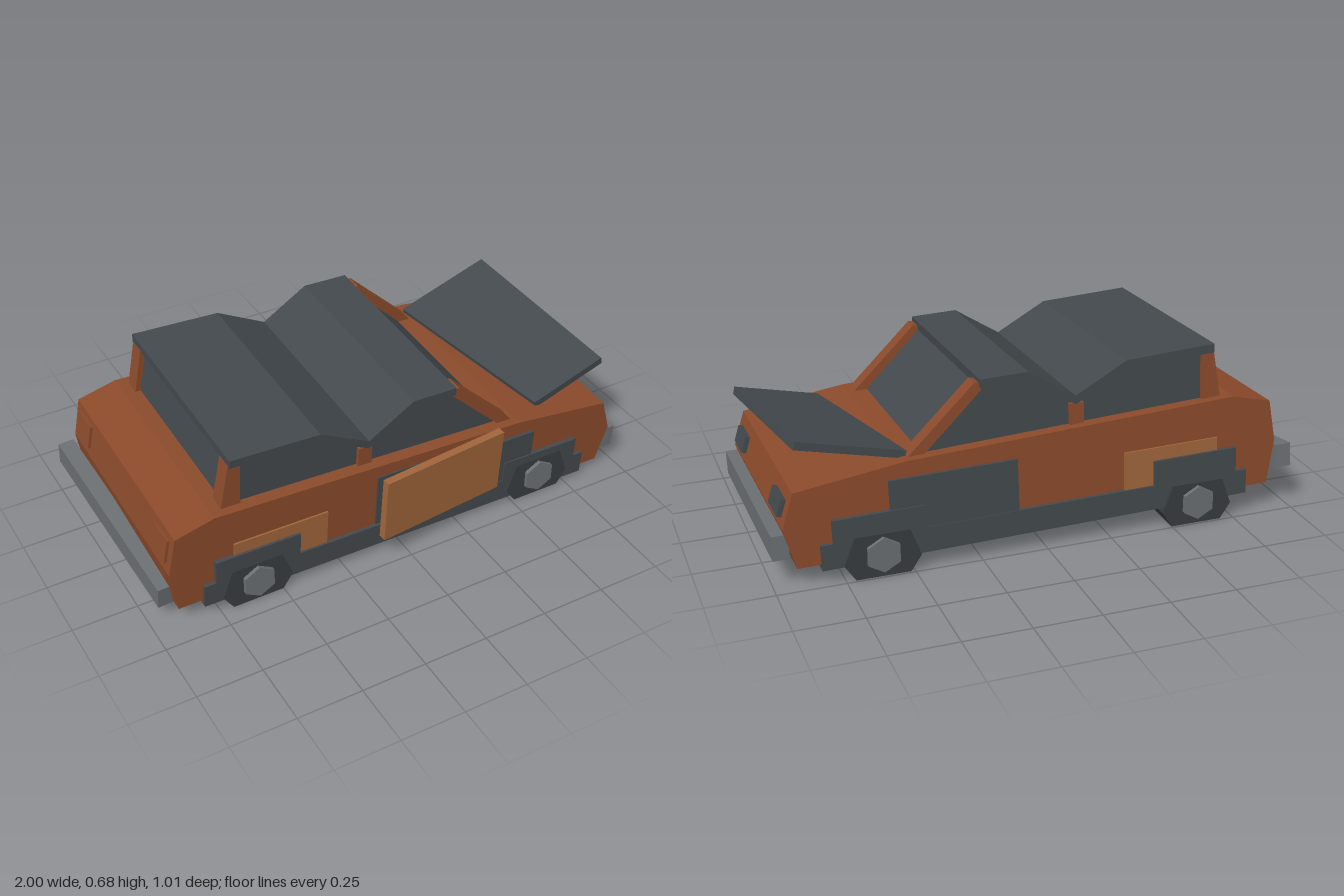
import * as THREE from 'three';

const mat = (name, color) => {
  const m = new THREE.MeshStandardMaterial({ color });
  m.name = name;
  return m;
};

export function createModel() {
  const rust = mat('rust', 0x8b4a2b);
  const paleRust = mat('pale rust', 0xa0653a);
  const charcoal = mat('charcoal', 0x43494d);
  const rubber = mat('rubber', 0x373c40);
  const steel = mat('steel', 0x6b6f72);

  const model = new THREE.Group();
  model.name = 'wreckedCar';

  // Sagging shell: leans to one side and dips at the nose
  const shell = new THREE.Group();
  shell.name = 'shell';
  shell.position.z = -0.035;
  shell.rotation.set(0.044, 0, -0.02);
  model.add(shell);

  const add = (parent, name, geometry, material) => {
    const mesh = new THREE.Mesh(geometry, material);
    mesh.name = name;
    parent.add(mesh);
    return mesh;
  };

  // Side profile (x, y) extruded from z0 to z1
  const prism = (points, z0, z1) => {
    const shape = new THREE.Shape(points.map(([x, y]) => new THREE.Vector2(x, y)));
    const g = new THREE.ExtrudeGeometry(shape, { depth: z1 - z0, bevelEnabled: false });
    return g.translate(0, 0, z0);
  };
  const pair = (name, points, inner, outer, material) => {
    add(shell, name + 'Left', prism(points, inner, outer), material);
    add(shell, name + 'Right', prism(points, -outer, -inner), material);
  };
  const rect = (x0, x1, y0, y1) => [[x0, y0], [x1, y0], [x1, y1], [x0, y1]];

  // Lower body and chassis
  add(shell, 'body', prism([
    [-0.905, 0.07], [0.915, 0.07], [0.955, 0.22], [0.91, 0.352],
    [0.51, 0.4], [-0.76, 0.44], [-0.91, 0.4], [-0.935, 0.24],
  ], -0.435, 0.435), rust);
  add(shell, 'chassis', prism(rect(-0.81, 0.83, 0.05, 0.145), -0.45, 0.45), charcoal);

  // Cabin with a caved-in roof
  add(shell, 'windows', prism([
    [-0.7, 0.42], [-0.67, 0.625], [-0.34, 0.605], [-0.14, 0.505],
    [0.037, 0.62], [0.21, 0.62], [0.455, 0.385],
  ], -0.385, 0.385), charcoal);
  const dent = [[-0.69, 0.648], [-0.34, 0.636], [-0.14, 0.532], [0.037, 0.649], [0.217, 0.647]];
  const under = dent.map(([x, y]) => [x, y - 0.033]).reverse();
  add(shell, 'roof', prism([...dent, ...under], -0.41, 0.41), charcoal);
  pair('rearPillar', [[-0.722, 0.42], [-0.645, 0.42], [-0.645, 0.615], [-0.692, 0.618]], 0.335, 0.4, rust);
  pair('centrePillar', rect(-0.175, -0.12, 0.41, 0.5), 0.335, 0.4, rust);
  pair('frontPillar', [[0.19, 0.625], [0.235, 0.635], [0.5, 0.39], [0.44, 0.39]], 0.335, 0.4, rust);

  // Patches and bare panels on both flanks
  pair('rearPatch', rect(-0.69, -0.315, 0.14, 0.292), 0.434, 0.442, paleRust);
  pair('rearBarePanel', rect(-0.765, -0.43, 0.13, 0.242), 0.434, 0.452, charcoal);
  pair('frontBarePanel', rect(0.1, 0.575, 0.13, 0.342), 0.434, 0.447, charcoal);
  pair('frontArch', rect(0.45, 0.785, 0.13, 0.232), 0.434, 0.452, charcoal);
  add(shell, 'doorOpening', prism(rect(-0.11, 0.4, 0.13, 0.37), 0.434, 0.44), charcoal);

  // Door hanging open at its rear edge
  const door = add(shell, 'door', new THREE.BoxGeometry(0.54, 0.27, 0.03), paleRust);
  door.position.set(0.147, 0.273, 0.479);
  door.rotation.y = 0.11;

  // Lights
  for (const s of [1, -1]) {
    const head = add(shell, 'headlight', new THREE.BoxGeometry(0.025, 0.065, 0.14), charcoal);
    head.position.set(0.94, 0.282, s * 0.315);
    head.rotation.z = 0.33;
    const tail = add(shell, 'tailLight', new THREE.BoxGeometry(0.025, 0.095, 0.115), rust);
    tail.position.set(-0.92, 0.325, s * 0.345);
    tail.rotation.z = -0.16;
  }

  // Bumpers: the rear one hangs crooked
  add(shell, 'frontBumper', new THREE.BoxGeometry(0.06, 0.092, 0.85), steel).position.set(0.965, 0.155, 0);
  const rearBumper = add(model, 'rearBumper', new THREE.BoxGeometry(0.062, 0.09, 0.83), steel);
  rearBumper.position.set(-0.949, 0.156, -0.055);
  rearBumper.rotation.set(0.13, 0.05, 0);

  // Bent hood: a slab stretched between four corners, keyed by its box corner signs
  const corner = {
    '1,-1': [0.895, 0.53, -0.43], '1,1': [0.96, 0.457, 0.32],
    '-1,1': [0.635, 0.375, 0.345], '-1,-1': [0.495, 0.425, -0.4],
  };
  let hood = new THREE.BoxGeometry(2, 2, 2);
  const p = hood.attributes.position;
  for (let i = 0; i < p.count; i++) {
    const [x, y, z] = corner[`${p.getX(i)},${p.getZ(i)}`];
    const drop = p.getY(i) < 0 ? 0.028 : 0;
    p.setXYZ(i, x + drop * 0.25, y - drop, z - drop * 0.1);
  }
  hood = hood.toNonIndexed();
  hood.computeVertexNormals();
  add(model, 'hood', hood, charcoal);

  // Flattened wheels with six-sided hubs
  const tyre = [[-0.1, 0], [0.1, 0], [0.14, 0.06], [0.1, 0.165], [-0.1, 0.165], [-0.14, 0.06]];
  for (const x of [-0.6, 0.615]) {
    for (const s of [1, -1]) {
      const wheel = new THREE.Group();
      wheel.name = 'wheel';
      wheel.position.set(x, 0, -0.033 + s * 0.39);
      add(wheel, 'tyre', prism(tyre, -0.068, 0.068), rubber);
      const hub = add(wheel, 'hub', new THREE.CylinderGeometry(0.067, 0.067, 0.04, 6).toNonIndexed(), steel);
      hub.geometry.computeVertexNormals();
      hub.rotation.x = Math.PI / 2;
      hub.position.set(0, 0.088, s * 0.063);
      model.add(wheel);
    }
  }
  return model;
}
